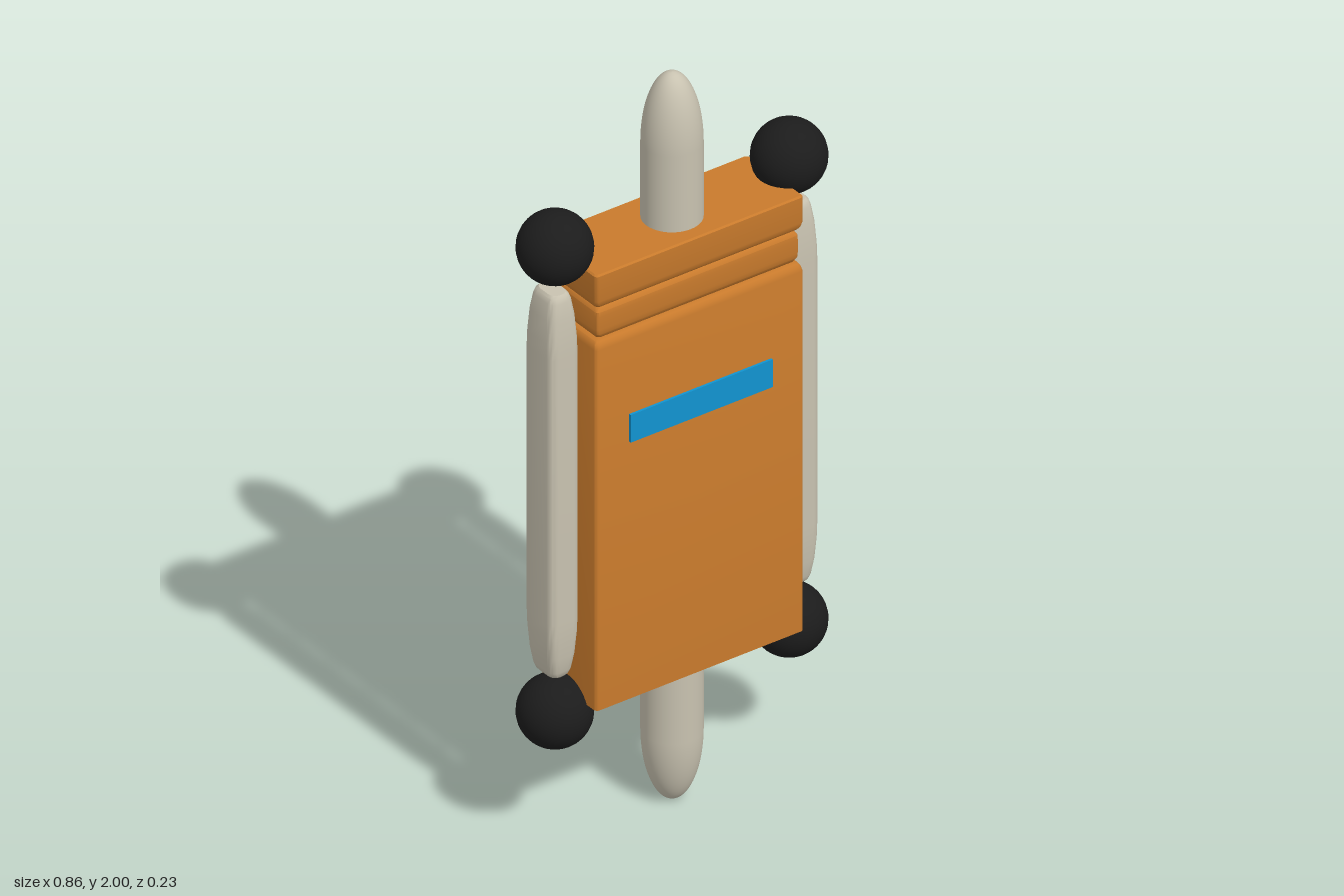
import * as THREE from 'three';
import { toCreasedNormals } from 'three/addons/utils/BufferGeometryUtils.js';

const Z = -0.003; // depth centre of everything but the front stripe

function material(name, color) {
  const m = new THREE.MeshStandardMaterial({ color });
  m.name = name;
  return m;
}

// Outline of a rounded rectangle in x/z
function outline(halfX, halfZ, radius, steps = 4) {
  const points = [];
  [[1, 1], [-1, 1], [-1, -1], [1, -1]].forEach(([sx, sz], corner) => {
    for (let i = 0; i <= steps; i++) {
      const a = (corner + i / steps) * Math.PI / 2;
      points.push([
        sx * (halfX - radius) + radius * Math.cos(a),
        sz * (halfZ - radius) + radius * Math.sin(a)
      ]);
    }
  });
  return points;
}

// Closed block lofted through [height, inset] levels, bottom to top
function loft(halfX, halfZ, radius, levels, crease) {
  const rings = levels.map(([y, inset]) =>
    outline(halfX - inset, halfZ - inset, radius).map(([x, z]) => [x, y, z]));
  const positions = [];
  const face = (...corners) => corners.forEach(c => positions.push(...c));
  const count = rings[0].length;
  const last = rings.length - 1;
  const bottom = [0, levels[0][0], 0];
  const top = [0, levels[last][0], 0];
  for (let i = 0; i < count; i++) {
    const n = (i + 1) % count;
    for (let j = 0; j < last; j++) {
      const a = rings[j][i], b = rings[j][n], c = rings[j + 1][i], d = rings[j + 1][n];
      face(a, c, b);
      face(b, c, d);
    }
    face(bottom, rings[0][i], rings[0][n]);
    face(top, rings[last][n], rings[last][i]);
  }
  const geometry = new THREE.BufferGeometry();
  geometry.setAttribute('position', new THREE.Float32BufferAttribute(positions, 3));
  return toCreasedNormals(geometry, crease);
}

export function createModel() {
  const model = new THREE.Group();
  const orange = material('orange', 0xc87a2c);
  const stone = material('warm grey', 0xc8c2b0);
  const black = material('black', 0x1c1c1c);
  const blue = material('blue', 0x1193d0);

  const add = (name, geometry, mat, x = 0, y = 0, z = Z) => {
    const mesh = new THREE.Mesh(geometry, mat);
    mesh.name = name;
    mesh.position.set(x, y, z);
    model.add(mesh);
    return mesh;
  };

  // Case in three stacked blocks with rounded seams
  add('mainCase', loft(0.3, 0.111, 0.01, [
    [0.403, 0], [1.395, 0], [1.407, 0.003], [1.414, 0.008], [1.417, 0.016]
  ], 0.6), orange);
  add('neckBand', loft(0.292, 0.104, 0.01, [
    [1.417, 0.014], [1.421, 0.007], [1.432, 0.001], [1.445, 0],
    [1.48, 0], [1.493, 0.001], [1.502, 0.007], [1.507, 0.014]
  ], 0.6), orange);
  add('caseCap', loft(0.3, 0.111, 0.01, [
    [1.507, 0.016], [1.51, 0.008], [1.517, 0.003], [1.53, 0], [1.599, 0], [1.603, 0.004]
  ], 0.6), orange);

  // Central rod with elongated domed tips
  const profile = [];
  const radius = 0.074, dome = 0.19, steps = 14;
  for (let i = 0; i <= steps; i++) {
    const a = i / steps * Math.PI / 2;
    profile.push(new THREE.Vector2(radius * Math.sin(a), dome * (1 - Math.cos(a))));
  }
  const upper = profile.map(p => new THREE.Vector2(p.x, 2 - p.y)).reverse();
  add('centralRod', new THREE.LatheGeometry([...profile, ...upper], 40), stone);

  // Side rails and corner balls, mirrored left and right
  const railGeometry = loft(0.0425, 0.056, 0.02, [
    [0.478, 0.02], [0.484, 0.015], [0.497, 0.011], [0.54, 0.005], [0.6, 0.001], [0.64, 0],
    [1.37, 0], [1.41, 0.001], [1.47, 0.005], [1.513, 0.011], [1.526, 0.015], [1.532, 0.02]
  ], 0.55);
  const ballGeometry = new THREE.SphereGeometry(0.092, 32, 20);
  for (const [side, sign] of [['left', 1], ['right', -1]]) {
    add(side + 'Rail', railGeometry, stone, sign * 0.346);
    add(side + 'UpperBall', ballGeometry, black, sign * 0.338, 1.643);
    add(side + 'LowerBall', ballGeometry, black, sign * 0.338, 0.365);
  }

  // Thin stripe on the front
  add('frontStripe', new THREE.BoxGeometry(0.41, 0.076, 0.008), blue, 0, 1.151, 0.1105);

  return model;
}
